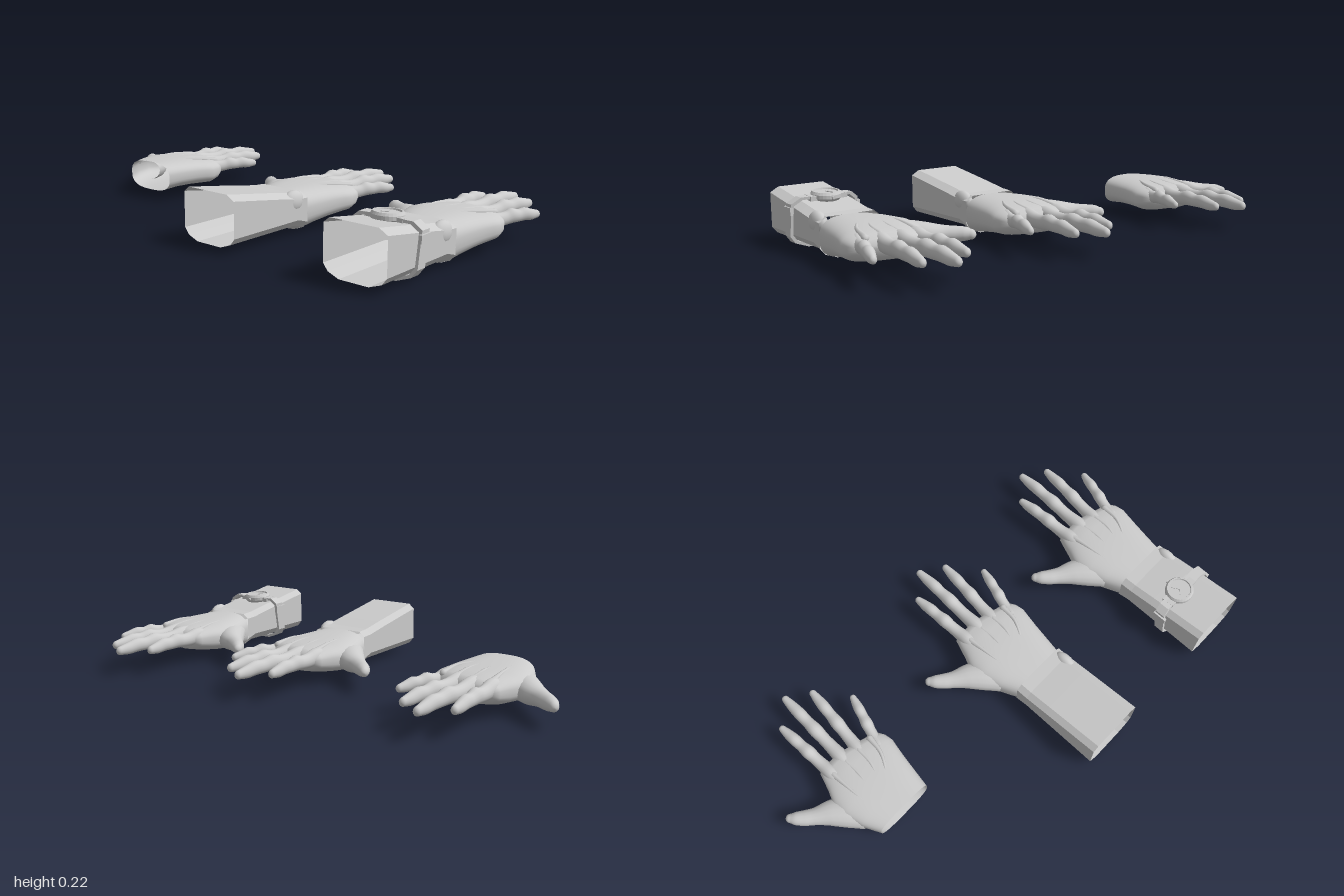
import * as THREE from 'three';

const V = (x, y, z) => new THREE.Vector3(x, y, z);
const smooth = new THREE.MeshStandardMaterial({ color: 0xcccccc, side: THREE.DoubleSide });
const faceted = new THREE.MeshStandardMaterial({ color: 0xcccccc, side: THREE.DoubleSide, flatShading: true });

function add(group, name, geometry, material = smooth) {
  const mesh = new THREE.Mesh(geometry, material);
  mesh.name = name;
  group.add(mesh);
  return mesh;
}

// Skin a list of closed rings that all have the same number of points
function loft(rings) {
  const n = rings[0].length, index = [];
  for (let i = 0; i < rings.length - 1; i++) {
    for (let j = 0; j < n; j++) {
      const k = (j + 1) % n, a = i * n, b = a + n;
      index.push(a + j, b + j, a + k, b + j, b + k, a + k);
    }
  }
  const g = new THREE.BufferGeometry().setFromPoints(rings.flat());
  g.setIndex(index);
  g.computeVertexNormals();
  return g;
}

// Finger or thumb: stations are [x, y, z, radiusY, radiusSide], ending in a rounded tip
function digit(stations, steps = 40, sides = 16) {
  const path = new THREE.CatmullRomCurve3(stations.map(s => V(s[0], s[1], s[2])));
  const radii = new THREE.CatmullRomCurve3(stations.map((s, i) => V(s[3], s[4], i)));
  const ring = (c, d, ry, rs) => {
    const side = V(d.x, 0, d.z).normalize().cross(V(0, 1, 0));
    return Array.from({ length: sides }, (_, j) => {
      const a = j / sides * Math.PI * 2;
      return c.clone().addScaledVector(side, Math.cos(a) * rs).add(V(0, Math.sin(a) * ry, 0));
    });
  };
  const rings = [];
  for (let i = 0; i <= steps; i++) {
    const t = i / steps, r = radii.getPoint(t);
    rings.push(ring(path.getPoint(t), path.getTangent(t), r.x, r.y));
  }
  const end = path.getPoint(1), dir = path.getTangent(1), last = stations.at(-1);
  for (let i = 1; i <= 5; i++) {
    const a = i / 5 * Math.PI / 2, f = Math.max(Math.cos(a), 0.001);
    rings.push(ring(end.clone().addScaledVector(dir, Math.sin(a) * last[4]), dir, last[3] * f, last[4] * f));
  }
  return loft(rings);
}

// Palm: rounded cross-sections [x, zMin, zMax, yMin, yMax], open at the wrist
function palm(wristBottom) {
  const lift = wristBottom - 0.005;
  const stations = [
    [-0.15, 0.015, 0.27, wristBottom, 0.165], [-0.08, -0.02, 0.281, 0.017 + lift * 0.8, 0.166],
    [0, -0.045, 0.294, 0.028 + lift * 0.45, 0.165], [0.06, -0.042, 0.304, 0.034 + lift * 0.2, 0.161],
    [0.12, -0.015, 0.312, 0.04, 0.156], [0.17, 0.003, 0.306, 0.052, 0.15],
    [0.197, 0.012, 0.292, 0.07, 0.138], [0.205, 0.06, 0.25, 0.1, 0.115], [0.206, 0.15, 0.151, 0.107, 0.108],
  ];
  const n = 48, e = 2 / 2.8;
  return loft(stations.map(([x, z0, z1, y0, y1]) => Array.from({ length: n }, (_, j) => {
    const a = j / n * Math.PI * 2, c = Math.cos(a), s = Math.sin(a);
    const z = (z0 + z1) / 2 + Math.sign(c) * Math.abs(c) ** e * (z1 - z0) / 2;
    let y = (y0 + y1) / 2 + Math.sign(s) * Math.abs(s) ** e * (y1 - y0) / 2;
    // The knuckle line slants back towards the little finger
    const slant = Math.max(0, z - 0.12) * 0.27 * THREE.MathUtils.smoothstep(x, 0, 0.2);
    return V(x - slant, y, z);
  })));
}

// Fingers: base [x, z], tip [x, z], thickness, name
const FINGERS = [
  ['indexFinger', 0.10, 0.048, 0.445, 0.036, 0.028],
  ['middleFinger', 0.10, 0.115, 0.53, 0.131, 0.029],
  ['ringFinger', 0.08, 0.178, 0.467, 0.226, 0.028],
  ['littleFinger', 0.05, 0.235, 0.332, 0.326, 0.025],
];
// Thickness along a finger: swollen at the joints, slim between them
const PROFILE = [[0, 1.05, 0.112], [0.18, 1.15, 0.118], [0.34, 0.98, 0.113], [0.46, 0.93, 0.115],
  [0.56, 1.03, 0.121], [0.68, 0.86, 0.117], [0.79, 0.9, 0.119], [0.9, 0.78, 0.113], [1, 0.56, 0.111]];

function hand(wristBottom) {
  const g = new THREE.Group();
  g.name = 'hand';
  add(g, 'palm', palm(wristBottom));
  for (const [name, x0, z0, x1, z1, r] of FINGERS) {
    add(g, name, digit(PROFILE.map(([t, f, y]) =>
      [x0 + (x1 - x0) * t, y, z0 + (z1 - z0) * t, r * f * 1.1, r * f * 0.95])));
    // Tendon fading back from the knuckle
    add(g, 'tendon', digit([[-0.02, 0.158, 0.11 + (z0 - 0.13) * 0.7, 0.005, 0.005],
      [0.07, 0.154, z0, 0.008, 0.008], [0.15, 0.14, z0 + (z1 - z0) * 0.15, 0.014, 0.014]], 12, 8));
  }
  add(g, 'thumb', digit([[-0.06, 0.095, 0.025, 0.045, 0.055], [0, 0.093, -0.012, 0.05, 0.062],
    [0.05, 0.092, -0.06, 0.045, 0.055], [0.088, 0.091, -0.115, 0.034, 0.037],
    [0.115, 0.09, -0.15, 0.031, 0.032], [0.14, 0.091, -0.177, 0.027, 0.027],
    [0.157, 0.09, -0.192, 0.02, 0.019]]));
  return g;
}

// Faceted sleeve section at x, with the top height and a drop of the underside
function sleeveRing(x, top, drop = 0, grow = 0) {
  const section = [[0.27, 0.065], [0.27, top - 0.02], [0.235, top], [0.04, top], [0.015, top - 0.02],
    [0.015, 0.065], [0.035, 0.04], [0.08, 0.022], [0.2, 0.022], [0.25, 0.04]];
  const sz = 1 + grow / 0.128, sy = 1 + grow / 0.09;
  return section.map(([z, y]) => V(x, 0.11 + (y - 0.11) * sy - (y < 0.1 ? drop : 0), 0.1425 + (z - 0.1425) * sz));
}

function sleeve() {
  const g = new THREE.Group();
  g.name = 'sleeve';
  add(g, 'forearm', loft([sleeveRing(-0.555, 0.224), sleeveRing(-0.3, 0.185),
    sleeveRing(-0.2, 0.168), sleeveRing(-0.148, 0.165, 0.016)]), faceted);
  const bone = add(g, 'wristBone', new THREE.SphereGeometry(1, 14, 10));
  bone.scale.set(0.055, 0.045, 0.03);
  bone.position.set(-0.205, 0.135, 0.245);
  return g;
}

function watch() {
  const g = new THREE.Group();
  g.name = 'watch';
  // Strap wraps the sleeve and leans back towards the underside
  const band = (x, grow) => sleeveRing(x, 0.197, 0, grow).map(p => V(p.x + (p.y - 0.2) * 0.16, p.y, p.z));
  const a = -0.382, b = -0.338;
  add(g, 'strap', loft([band(a, 0.014), band(b, 0.014), band(b, 0.003), band(a, 0.003), band(a, 0.014)]), faceted);
  for (const z of [0, 0.285]) {
    const loop = add(g, 'strapLoop', new THREE.BoxGeometry(0.06, 0.03, 0.012), faceted);
    loop.position.set(-0.367, 0.16, z);
  }
  const head = new THREE.Group();
  head.name = 'watchHead';
  head.position.set(-0.358, 0.188, 0.13);
  head.rotation.z = -0.06;
  g.add(head);
  const profile = [[0, 0], [0.05, 0], [0.059, 0.012], [0.059, 0.026], [0.053, 0.036], [0.047, 0.036], [0.045, 0.03], [0, 0.03]];
  add(head, 'case', new THREE.LatheGeometry(profile.map(p => new THREE.Vector2(...p)), 28), faceted);
  for (const s of [-1, 1]) {
    add(head, 'lug', new THREE.BoxGeometry(0.052, 0.018, 0.03), faceted).position.set(0, 0.014, s * 0.062);
  }
  // Two pointers on the dial
  for (const [angle, length] of [[0.5, 0.036], [2.3, 0.025]]) {
    const pointer = add(head, 'pointer', new THREE.BoxGeometry(length, 0.003, 0.004).translate(length / 2, 0, 0), faceted);
    pointer.position.y = 0.032;
    pointer.rotation.y = angle;
  }
  const crown = add(head, 'crown', new THREE.CylinderGeometry(0.006, 0.006, 0.01, 10), faceted);
  crown.rotation.z = Math.PI / 2;
  crown.position.set(0.06, 0.018, 0);
  return g;
}

export function createModel() {
  const model = new THREE.Group();
  model.name = 'hands';
  // Bare hand, sleeved hand, sleeved hand with watch
  [['bareHand', -0.79], ['sleevedHand', 0], ['watchHand', 0.66]].forEach(([name, z], i) => {
    const g = new THREE.Group();
    g.name = name;
    g.position.z = z;
    g.add(hand(i ? 0.005 : 0.037));
    if (i > 0) g.add(sleeve());
    if (i > 1) g.add(watch());
    model.add(g);
  });
  return model;
}
